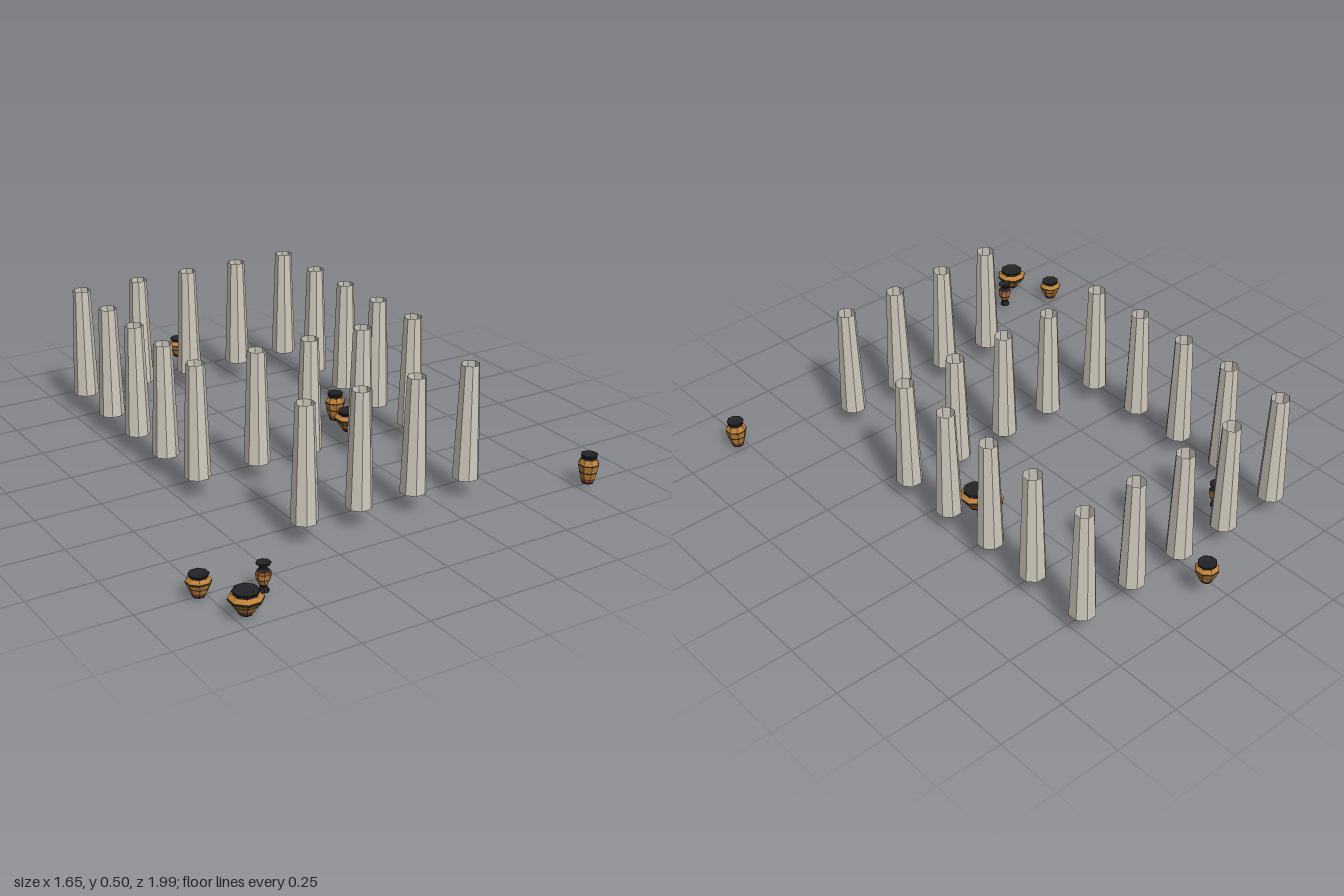
import * as THREE from 'three';

const mat = (name, color, side = THREE.FrontSide) => {
  const m = new THREE.MeshStandardMaterial({ color, side, flatShading: true });
  m.name = name;
  return m;
};

export function createModel() {
  const group = new THREE.Group();
  const stone = mat('pale stone', 0xd0cabe, THREE.DoubleSide);
  const mats = {
    clay: mat('ochre clay', 0xbf8035),
    rust: mat('rust clay', 0x8a4726),
    dark: mat('black glaze', 0x222324),
  };

  // Open tapering columns, eight sided
  const shaft = new THREE.CylinderGeometry(0.0335, 0.0485, 0.423, 8, 1, true);
  shaft.rotateY(Math.PI / 8);
  const addColumn = (x, z) => {
    const m = new THREE.Mesh(shaft, stone);
    m.name = 'column';
    m.position.set(x, 0.288, z);
    group.add(m);
  };
  for (const z of [-0.794, 0.119])
    for (const x of [-0.432, -0.19, 0.028, 0.252, 0.476]) addColumn(x, z);
  for (const z of [-0.549, -0.33, -0.106]) {
    addColumn(-0.439, z);
    addColumn(0.476, z);
  }
  for (const x of [-0.3, -0.083, 0.14, 0.364]) addColumn(x, 0.611);

  // Pottery profiles: [radius, height, colour of the band that ends here]
  const shapes = {
    bowl: [[0, 0], [0.022, 0, 'dark'], [0.026, 0.008, 'dark'], [0.034, 0.019, 'rust'],
      [0.046, 0.036, 'clay'], [0.05, 0.041, 'dark'], [0.059, 0.052, 'clay'],
      [0.057, 0.058, 'dark'], [0.043, 0.069, 'clay'], [0.04, 0.074, 'dark'],
      [0.044, 0.078, 'dark'], [0.044, 0.082, 'dark'], [0.037, 0.082, 'dark'],
      [0, 0.076, 'dark']],
    jar: [[0, 0], [0.021, 0, 'dark'], [0.024, 0.007, 'dark'], [0.029, 0.017, 'rust'],
      [0.035, 0.032, 'clay'], [0.037, 0.036, 'dark'], [0.043, 0.051, 'clay'],
      [0.042, 0.056, 'dark'], [0.031, 0.067, 'clay'], [0.029, 0.071, 'dark'],
      [0.034, 0.075, 'dark'], [0.034, 0.079, 'dark'], [0.029, 0.079, 'dark'],
      [0, 0.073, 'dark']],
    amphora: [[0, 0], [0.021, 0, 'dark'], [0.023, 0.007, 'dark'], [0.027, 0.02, 'rust'],
      [0.033, 0.042, 'clay'], [0.034, 0.047, 'dark'], [0.039, 0.071, 'clay'],
      [0.038, 0.076, 'dark'], [0.029, 0.093, 'clay'], [0.026, 0.101, 'dark'],
      [0.031, 0.106, 'dark'], [0.031, 0.11, 'dark'], [0.026, 0.11, 'dark'],
      [0, 0.104, 'dark']],
    vase: [[0, 0], [0.019, 0, 'dark'], [0.018, 0.006, 'dark'], [0.011, 0.018, 'dark'],
      [0.016, 0.028, 'dark'], [0.023, 0.043, 'clay'], [0.024, 0.047, 'dark'],
      [0.027, 0.064, 'clay'], [0.023, 0.072, 'rust'], [0.013, 0.081, 'dark'],
      [0.014, 0.09, 'dark'], [0.025, 0.097, 'dark'], [0.025, 0.101, 'dark'],
      [0.018, 0.101, 'dark'], [0, 0.092, 'dark']],
  };

  // Each pot is a stack of coloured lathe bands
  const addPot = (kind, x, y, z) => {
    const pot = new THREE.Group();
    pot.name = kind;
    const profile = shapes[kind];
    for (let i = 1; i < profile.length; i++) {
      const pts = [profile[i - 1], profile[i]].map(([r, h]) => new THREE.Vector2(r, h));
      const band = new THREE.Mesh(new THREE.LatheGeometry(pts, 8), mats[profile[i][2]]);
      band.name = kind + 'Band';
      pot.add(band);
    }
    pot.rotation.y = Math.PI / 8;
    pot.position.set(x, y, z);
    group.add(pot);
  };
  addPot('bowl', -0.715, 0.014, 0.941);
  addPot('bowl', 0.339, 0, -0.086);
  addPot('jar', -0.784, 0.014, 0.77);
  addPot('jar', 0.066, 0.079, -0.957);
  addPot('amphora', 0.787, 0.015, 0.772);
  addPot('amphora', 0.335, 0.015, -0.178);
  addPot('vase', -0.599, 0.015, 0.85);
  addPot('vase', -0.307, 0.005, -0.65);

  return group;
}
